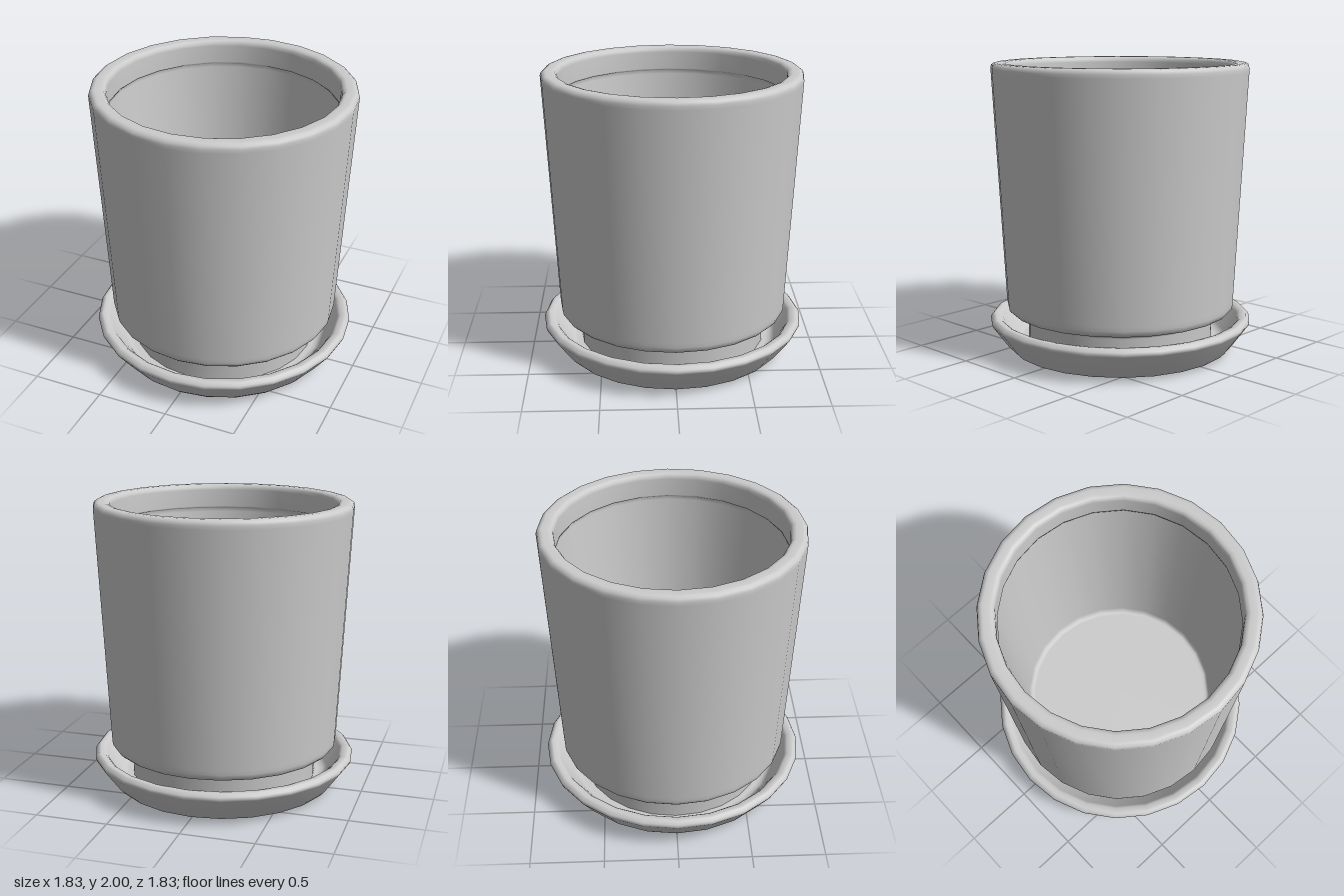
import * as THREE from 'three';

const SIDES = 24;

// Revolve a closed profile that runs up the outside and down the inside
function turned(name, profile) {
  const points = profile.map(([r, y]) => new THREE.Vector2(r, y));
  const mesh = new THREE.Mesh(
    new THREE.LatheGeometry(points, SIDES),
    new THREE.MeshStandardMaterial({ color: 0xcccccc })
  );
  mesh.name = name;
  return mesh;
}

export function createModel() {
  const model = new THREE.Group();
  model.name = 'planterWithSaucer';

  // Shallow flared dish with a bevelled rim
  model.add(turned('saucer', [
    [0, 0], [0.71, 0], [0.73, 0.002], [0.77, 0.015], [0.8, 0.045],
    [0.91, 0.195], [0.917, 0.212], [0.91, 0.225], [0.895, 0.243], [0.88, 0.245],
    [0.85, 0.242], [0.83, 0.225], [0.74, 0.09], [0.71, 0.07], [0.68, 0.065], [0, 0.065],
  ]));

  // Tapered pot: recessed foot, rounded lower edge, rounded rim, hollow inside
  model.add(turned('pot', [
    [0, 0.066], [0.645, 0.066], [0.65, 0.07], [0.65, 0.235], [0.66, 0.25],
    [0.69, 0.27], [0.74, 0.277], [0.775, 0.287], [0.793, 0.305], [0.798, 0.33],
    [0.8, 0.36], [0.882, 1.94], [0.883, 1.965], [0.877, 1.985], [0.86, 1.997], [0.845, 2],
    [0.805, 2], [0.785, 1.995], [0.773, 1.98], [0.77, 1.96],
    // lip inside the rim, then the inner wall and floor
    [0.768, 1.84], [0.77, 1.83], [0.78, 1.826], [0.778, 1.8],
    [0.672, 0.44], [0.665, 0.41], [0.65, 0.4], [0.63, 0.4], [0, 0.4],
  ]));

  return model;
}
